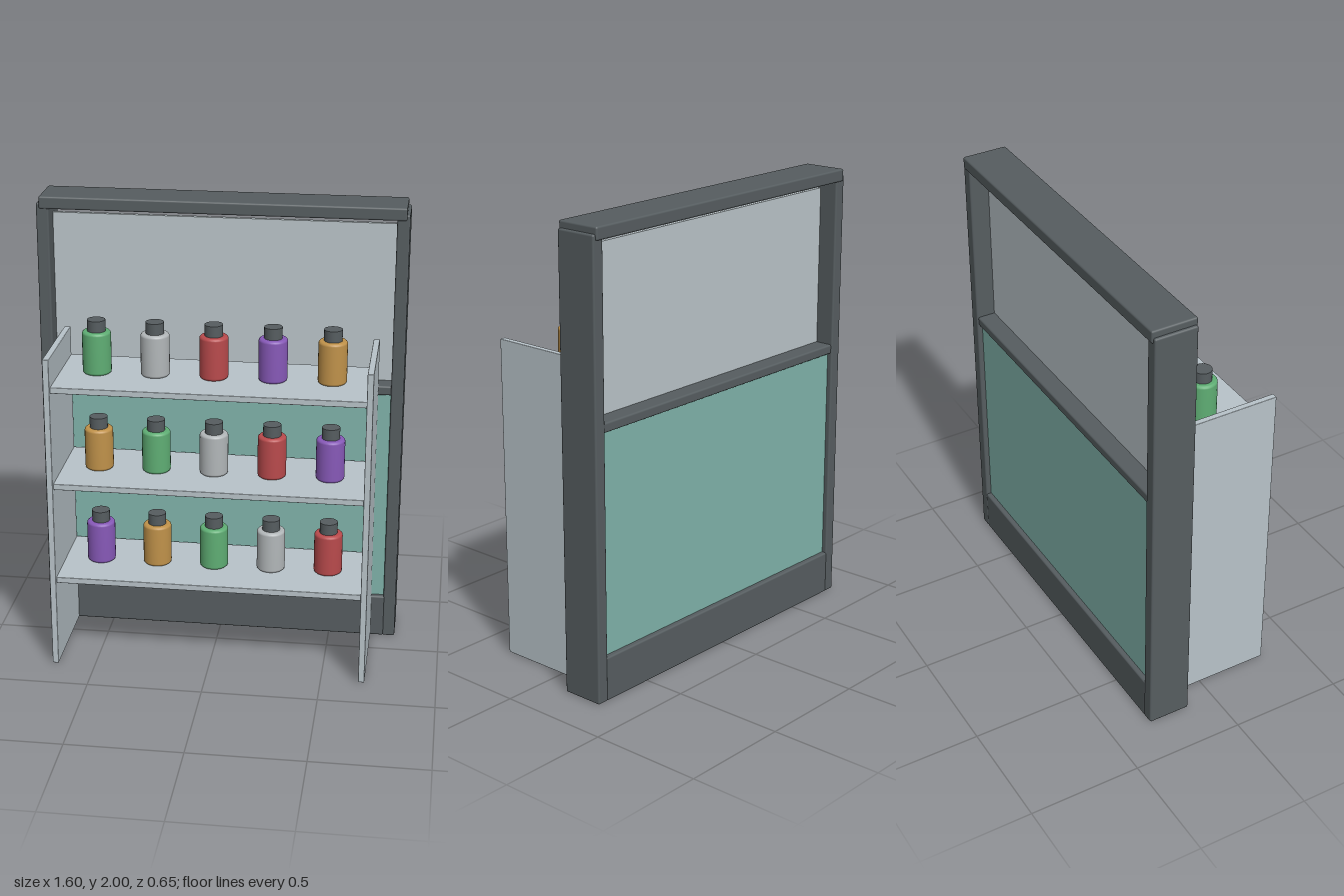
import * as THREE from 'three';
import { RoundedBoxGeometry } from 'three/addons/geometries/RoundedBoxGeometry.js';

const mat = (name, color) => {
  const m = new THREE.MeshStandardMaterial({ color });
  m.name = name;
  return m;
};

export function createModel() {
  const frame = mat('dark grey frame', 0x565d60);
  const board = mat('pale grey board', 0xb8c3c9);
  const upper = mat('pale panel', 0xbac4c8);
  const teal = mat('teal panel', 0x80b3aa);
  const green = mat('green', 0x5fae74);
  const silver = mat('silver', 0xb2b7b9);
  const red = mat('red', 0xb94a4c);
  const purple = mat('purple', 0x8759b8);
  const amber = mat('amber', 0xc0924a);

  const model = new THREE.Group();
  model.name = 'displayStand';

  // Box given by its limits on each axis, with an optional eased edge
  function box(name, material, [x0, x1], [y0, y1], [z0, z1], ease = 0) {
    const s = [x1 - x0, y1 - y0, z1 - z0];
    const geo = ease ? new RoundedBoxGeometry(...s, 2, ease) : new THREE.BoxGeometry(...s);
    const mesh = new THREE.Mesh(geo, material);
    mesh.name = name;
    mesh.position.set((x0 + x1) / 2, (y0 + y1) / 2, (z0 + z1) / 2);
    model.add(mesh);
  }

  // Back frame with its two infill panels
  box('leftPost', frame, [0.745, 0.8], [0, 1.97], [-0.318, -0.128], 0.008);
  box('rightPost', frame, [-0.8, -0.745], [0, 1.97], [-0.318, -0.128], 0.008);
  box('topRail', frame, [-0.787, 0.787], [1.945, 2], [-0.325, -0.123], 0.008);
  box('middleRail', frame, [-0.75, 0.75], [1.163, 1.205], [-0.312, -0.134], 0.008);
  box('bottomRail', frame, [-0.75, 0.75], [0, 0.195], [-0.318, -0.128], 0.008);
  box('upperPanel', upper, [-0.746, 0.746], [1.2, 1.91], [-0.232, -0.214]);
  box('lowerPanel', teal, [-0.746, 0.746], [0.19, 1.17], [-0.295, -0.151]);

  // Shelf unit
  box('leftSide', board, [0.663, 0.69], [0, 1.42], [-0.13, 0.325], 0.003);
  box('rightSide', board, [-0.69, -0.663], [0, 1.42], [-0.13, 0.325], 0.003);
  const shelfTops = [1.292, 0.853, 0.412];
  for (const top of shelfTops)
    box('shelf', board, [-0.665, 0.665], [top - 0.027, top], [-0.13, 0.307], 0.003);

  // Bottles: softly rounded body and a dark cap
  const arc = (cx, cy, r, from, to) =>
    [0, 1, 2, 3].map((i) => {
      const a = from + ((to - from) * i) / 3;
      return new THREE.Vector2(cx + r * Math.cos(a), cy + r * Math.sin(a));
    });
  const bodyGeo = new THREE.LatheGeometry([
    new THREE.Vector2(0, 0),
    ...arc(0.05, 0.012, 0.012, -Math.PI / 2, 0),
    ...arc(0.05, 0.176, 0.012, 0, Math.PI / 2),
    new THREE.Vector2(0, 0.188),
  ], 28);
  const capGeo = new THREE.CylinderGeometry(0.039, 0.039, 0.052, 24);

  function bottle(material, x, y) {
    const group = new THREE.Group();
    group.name = 'bottle';
    const body = new THREE.Mesh(bodyGeo, material);
    body.name = 'bottleBody';
    const cap = new THREE.Mesh(capGeo, frame);
    cap.name = 'bottleCap';
    cap.position.y = 0.211;
    group.add(body, cap);
    group.position.set(x, y, 0.087);
    model.add(group);
  }

  // The colour order shifts by one on each lower shelf
  const colours = [green, silver, red, purple, amber];
  shelfTops.forEach((top, row) => {
    for (let i = 0; i < 5; i++)
      bottle(colours[(i - row + 5) % 5], (i - 2) * 0.252, top);
  });

  return model;
}
